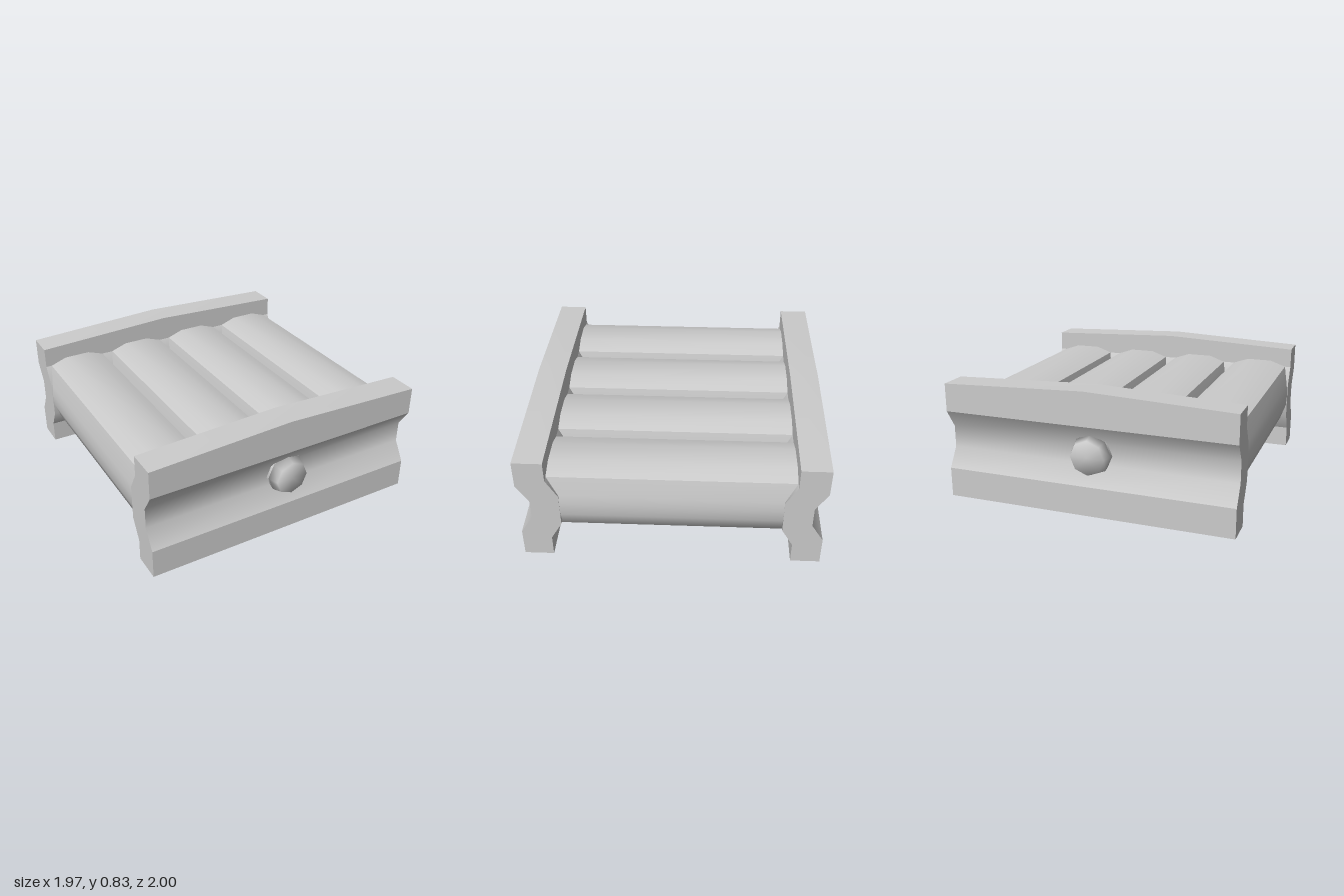
import * as THREE from 'three';
import { mergeGeometries, mergeVertices, toCreasedNormals } from 'three/addons/utils/BufferGeometryUtils.js';

const HALF = 0.985; // half width along x
const material = new THREE.MeshStandardMaterial({ color: 0xcccccc });

// Smooth-shaded strip swept along x from a run of [z, y] points;
// the topmost points drop towards both ends to form the low gable.
function strip(run) {
  const pos = [], index = [], xs = [-HALF, 0, HALF];
  for (const [z, y] of run)
    for (const x of xs) pos.push(x, y > 0.8 ? y - 0.04 * Math.abs(x) / HALF : y, z);
  for (let i = 0; i < run.length - 1; i++)
    for (let j = 0; j < 2; j++) {
      const a = i * 3 + j, d = a + 3;
      index.push(a, a + 1, d + 1, a, d + 1, d);
    }
  const g = new THREE.BufferGeometry();
  g.setAttribute('position', new THREE.Float32BufferAttribute(pos, 3));
  g.setIndex(index);
  g.computeVertexNormals();
  return g;
}

// End panel: grooved outside, ridged inside
function panelGeometry() {
  const runs = [
    [[0.99, 0], [0.99, 0.2]],
    [[0.99, 0.2], [0.91, 0.33], [0.91, 0.475], [0.99, 0.6]],
    [[0.99, 0.6], [0.99, 0.83]],
    [[0.99, 0.83], [0.795, 0.83]],
    [[0.795, 0.83], [0.795, 0.65]],
    [[0.795, 0.65], [0.72, 0.52], [0.72, 0.28], [0.795, 0.15]],
    [[0.795, 0.15], [0.795, 0]],
    [[0.795, 0], [0.99, 0]],
  ];
  const parts = runs.map(strip);
  const outline = runs.flatMap((r) => r.slice(0, -1));
  for (const s of [1, -1]) {
    const shape = new THREE.Shape(outline.map(([z, y]) => new THREE.Vector2(-s * z, Math.min(y, 0.79))));
    const cap = new THREE.ShapeGeometry(shape);
    cap.deleteAttribute('uv');
    parts.push(cap.rotateY(s * Math.PI / 2).translate(s * HALF, 0, 0));
  }
  return mergeGeometries(parts);
}

// Eight-sided knob, shaded smoothly over its rim
function knobGeometry() {
  let g = new THREE.CylinderGeometry(0.115, 0.138, 0.07, 8);
  g.deleteAttribute('uv');
  g.deleteAttribute('normal');
  g = mergeVertices(g.rotateX(Math.PI / 2));
  g.computeVertexNormals();
  const base = new THREE.CylinderGeometry(0.138, 0.138, 0.06, 8, 1, true).rotateX(Math.PI / 2).translate(0, 0, -0.065);
  base.deleteAttribute('uv');
  return mergeGeometries([g, base]);
}

// Lengthwise roll with a flattened top and tight shoulders
function rollGeometry() {
  const side = [[0.1, 0.2], [0.2, 0.25], [0.24, 0.36], [0.246, 0.45], [0.238, 0.52], [0.205, 0.65], [0.09, 0.69]];
  const loop = [...side, ...side.slice().reverse().map(([x, y]) => [-x, y])];
  const shape = new THREE.Shape(loop.map(([x, y]) => new THREE.Vector2(x, y)));
  const g = new THREE.ExtrudeGeometry(shape, { depth: 1.6, bevelEnabled: false });
  return toCreasedNormals(g.translate(0, 0, -0.8), THREE.MathUtils.degToRad(50));
}

export function createModel() {
  const model = new THREE.Group();
  const add = (parent, geometry, name) => {
    const mesh = new THREE.Mesh(geometry, material);
    mesh.name = name;
    parent.add(mesh);
    return mesh;
  };

  // Two matching ends, the back one turned round
  const panel = panelGeometry(), knob = knobGeometry();
  for (const name of ['front', 'back']) {
    const end = new THREE.Group();
    end.name = name + 'End';
    add(end, panel, name + 'Panel');
    add(end, knob, name + 'Knob').position.set(0.022, 0.4, 0.965);
    if (name === 'back') end.rotation.y = Math.PI;
    model.add(end);
  }

  // Four rolls side by side between the ends
  const roll = rollGeometry();
  for (let i = 0; i < 4; i++) add(model, roll, 'roll' + (i + 1)).position.x = (i - 1.5) * 0.492;

  return model;
}
